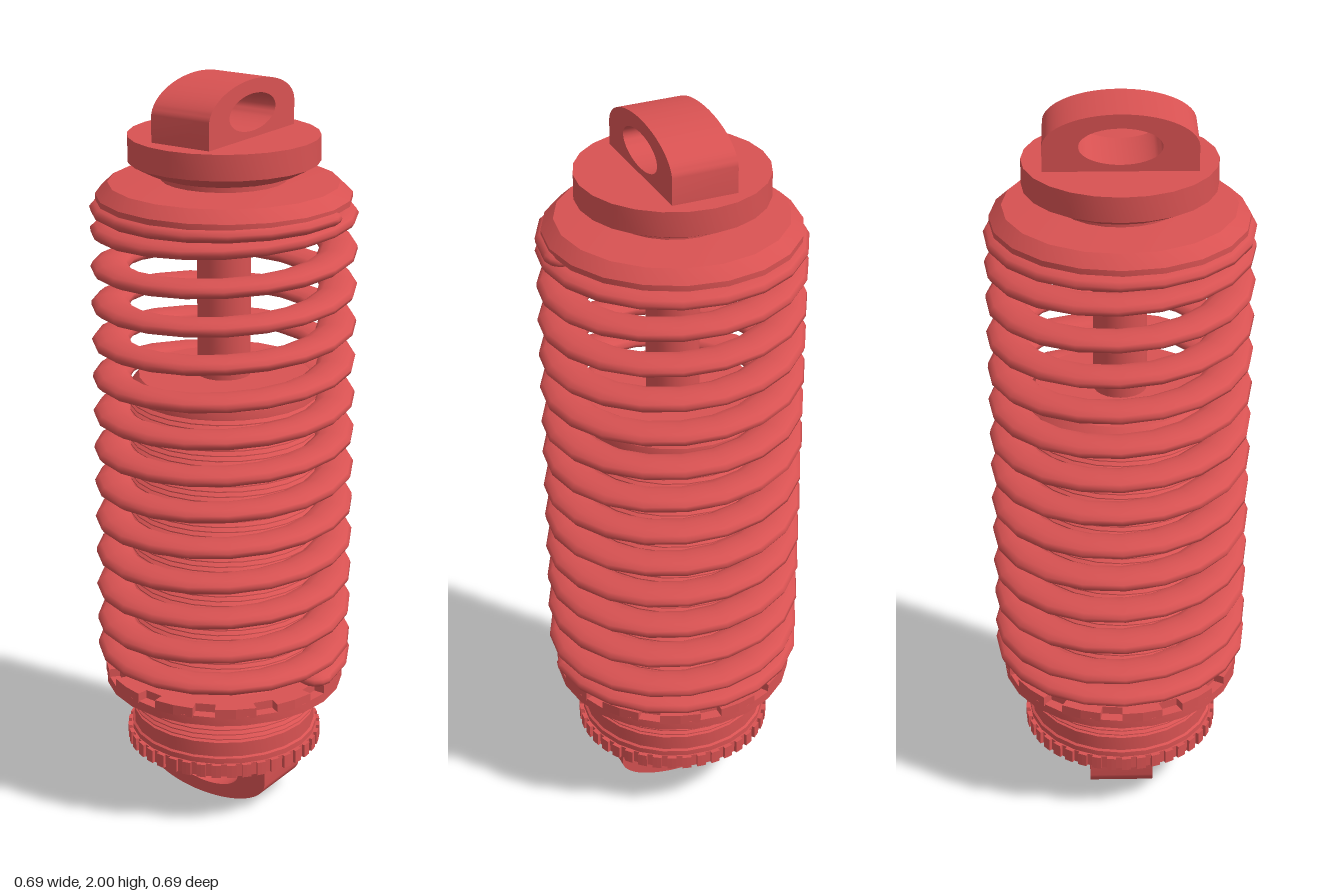
import * as THREE from 'three';
import { toCreasedNormals } from 'three/addons/utils/BufferGeometryUtils.js';

const red = new THREE.MeshStandardMaterial({ color: 0xd85252 });
red.name = 'red';

// The spring wire is oval: this much wider than it is tall
const WIRE_RATIO = 2.25;
const WIRE_RADIUS = 0.05;

// Coil path: closed turns at both ends, even pitch between
class Coil extends THREE.Curve {
  getPoint(u, target = new THREE.Vector3()) {
    const turn = -1 + u * 14;
    let y = 0.457 + 0.099 * turn;
    if (turn < 0) y = 0.457 + 0.047 * turn;
    if (turn > 12) y = 1.645 + 0.03 * (turn - 12);
    const a = turn * Math.PI * 2, r = 0.296;
    return target.set(r * Math.cos(a), y * WIRE_RATIO, -r * Math.sin(a));
  }
}

export function createModel() {
  const group = new THREE.Group();

  const add = (name, geometry) => {
    const mesh = new THREE.Mesh(geometry, red);
    mesh.name = name;
    group.add(mesh);
    return mesh;
  };

  // Turned part from [radius, height] pairs, listed from the bottom up
  const turned = (name, profile, sides = 24) => {
    const points = profile.map(([r, y]) => new THREE.Vector2(r, y));
    return add(name, toCreasedNormals(new THREE.LatheGeometry(points, sides), 0.5));
  };

  // Mounting eye: straight sides, elliptical crown, oval hole
  const eye = (name) => {
    const s = new THREE.Shape();
    s.moveTo(-0.193, -0.01);
    s.lineTo(0.193, -0.01);
    s.lineTo(0.193, 0.063);
    s.absellipse(0, 0.063, 0.193, 0.084, 0, Math.PI, false);
    s.closePath();
    const hole = new THREE.Path();
    hole.absellipse(0, 0.064, 0.104, 0.047, 0, Math.PI * 2, true);
    s.holes.push(hole);
    const g = new THREE.ExtrudeGeometry(s, { depth: 0.174, bevelEnabled: false, curveSegments: 20 });
    g.translate(0, 0, -0.087);
    return add(name, toCreasedNormals(g, 0.6));
  };

  const upperEye = eye('upperEye');
  upperEye.rotation.y = Math.PI / 2;
  upperEye.position.y = 1.853;
  const lowerEye = eye('lowerEye');
  lowerEye.rotation.z = Math.PI;
  lowerEye.position.y = 0.147;

  // Upper cap, neck and spring seat
  turned('upperCap', [[0, 1.755], [0.18, 1.755], [0.2, 1.762], [0.247, 1.787], [0.247, 1.853], [0, 1.853]]);
  turned('neck', [[0.163, 1.70], [0.163, 1.76]]);
  turned('upperSpringSeat', [[0, 1.685], [0.33, 1.685], [0.33, 1.7], [0.298, 1.73], [0.17, 1.738], [0, 1.738]], 20);
  turned('pistonRod', [[0.07, 1.18], [0.07, 1.72]]);

  // Damper body with a fine thread along its length
  const body = [[0, 0.19], [0.25, 0.19], [0.25, 0.25]];
  for (let i = 0; i < 66; i++) {
    const y = 0.25 + i * 0.014;
    body.push([0.238, y + 0.004], [0.25, y + 0.008], [0.25, y + 0.011]);
  }
  body.push([0.247, 1.19], [0.225, 1.215], [0, 1.215]);
  turned('threadedBody', body);

  // Gear-like outline shared by the knurled and castellated rings
  const toothedRing = (name, outer, inner, teeth, fill, y, height) => {
    const s = new THREE.Shape();
    for (let i = 0; i < teeth; i++) {
      [[outer, 0], [outer, fill / 2], [outer, fill], [inner, fill], [inner, 1]].forEach(([r, f], k) => {
        const a = (i + f) / teeth * Math.PI * 2;
        s[i + k ? 'lineTo' : 'moveTo'](r * Math.cos(a), r * Math.sin(a));
      });
    }
    s.closePath();
    const g = new THREE.ExtrudeGeometry(s, { depth: height, bevelEnabled: false });
    g.rotateX(-Math.PI / 2);
    g.translate(0, y, 0);
    add(name, g);
  };
  toothedRing('knurledBaseRing', 0.267, 0.258, 40, 0.6, 0.153, 0.037);
  turned('baseCollar', [[0.25, 0.18], [0.256, 0.19], [0.256, 0.205], [0.248, 0.21]]);

  // Castellated preload collar under the spring
  turned('preloadCollar', [[0, 0.34], [0.325, 0.34], [0.325, 0.365], [0, 0.365]]);
  toothedRing('preloadCollarTeeth', 0.325, 0.295, 12, 0.65, 0.36, 0.028);

  // Coil spring of oval wire, with rounded ends
  const path = new Coil();
  const spring = new THREE.TubeGeometry(path, 280, WIRE_RADIUS, 12, false);
  spring.scale(1, 1 / WIRE_RATIO, 1);
  add('coilSpring', spring);
  for (const u of [0, 1]) {
    const p = path.getPoint(u);
    const end = new THREE.SphereGeometry(WIRE_RADIUS, 12, 8);
    end.translate(p.x, p.y, p.z);
    end.scale(1, 1 / WIRE_RATIO, 1);
    add('springEnd', end);
  }
  return group;
}
